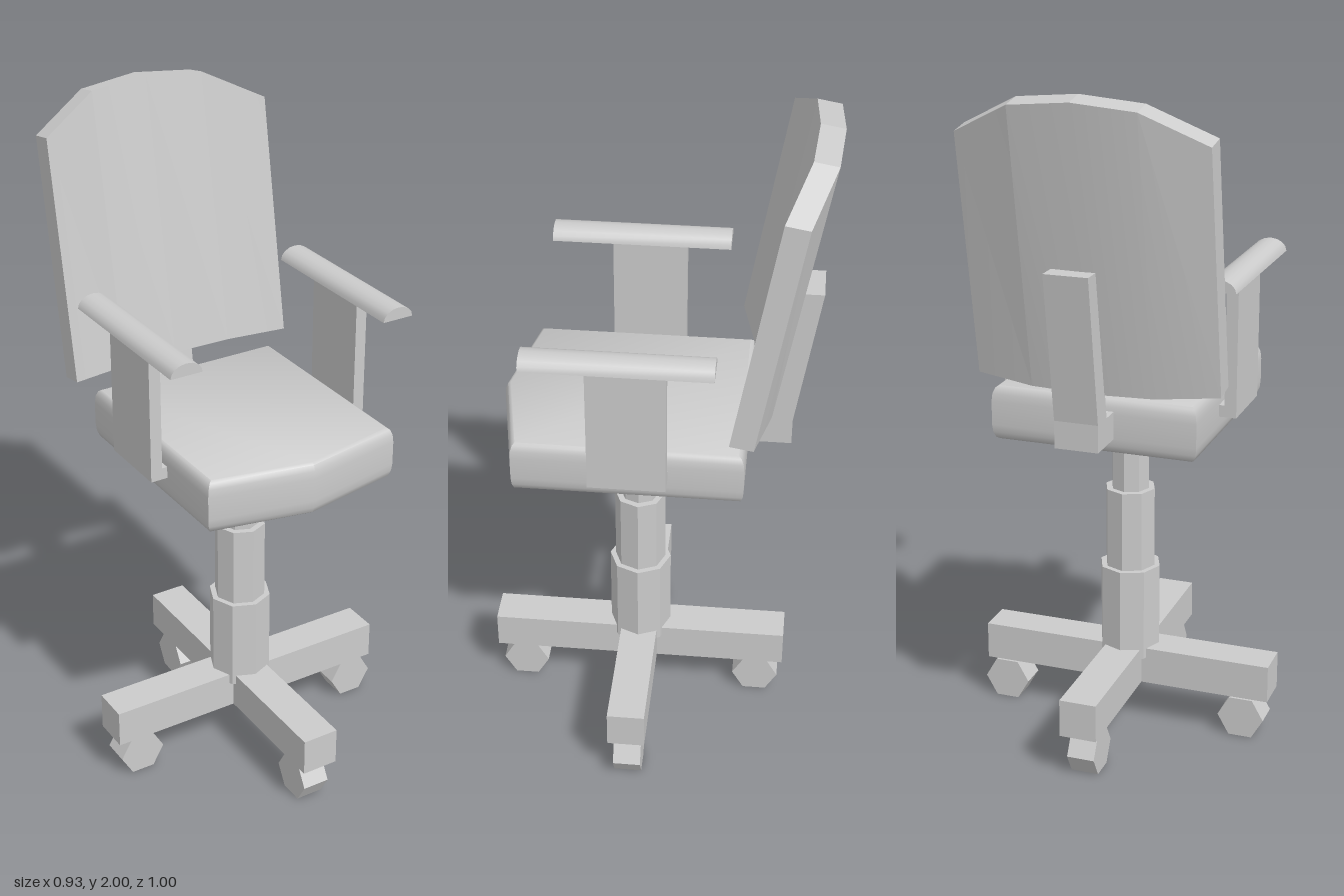
import * as THREE from 'three';
import { toCreasedNormals } from 'three/addons/utils/BufferGeometryUtils.js';

const material = new THREE.MeshStandardMaterial({ color: 0xcccccc });
const flat = new THREE.MeshStandardMaterial({ color: 0xcccccc, flatShading: true, side: THREE.DoubleSide });

function add(parent, name, geometry, x = 0, y = 0, z = 0, mat = material) {
  const mesh = new THREE.Mesh(geometry, mat);
  mesh.name = name;
  mesh.position.set(x, y, z);
  parent.add(mesh);
  return mesh;
}

const shapeOf = (points) => new THREE.Shape(points.map(([x, y]) => new THREE.Vector2(x, y)));

// Extrudes a profile, centred on its own depth
function slab(points, depth) {
  return new THREE.ExtrudeGeometry(shapeOf(points), { depth, bevelEnabled: false })
    .translate(0, 0, -depth / 2);
}

// Curved, tilted panel: one four-cornered cross-section per column, joined in a loop
function backrestGeometry() {
  // x, bottom y, bottom z, top y, top z of the front face
  const half = [[0.355, 1.195, -0.235, 1.895, -0.357], [0.178, 1.185, -0.277, 1.983, -0.42]];
  const columns = [
    ...half.map(([x, ...rest]) => [-x, ...rest]),
    [0, 1.182, -0.285, 2.0, -0.432],
    ...[...half].reverse(),
  ];
  const positions = [];
  const index = [];
  for (const [x, y0, z0, y1, z1] of columns) {
    positions.push(x, y0, z0, x, y1, z1, x, y1 - 0.012, z1 - 0.068, x, y0 - 0.012, z0 - 0.068);
  }
  for (let i = 0; i < columns.length - 1; i++) {
    for (let j = 0; j < 4; j++) {
      const a = i * 4 + j, b = i * 4 + ((j + 1) % 4);
      index.push(a, a + 4, b, b, a + 4, b + 4);
    }
  }
  const e = (columns.length - 1) * 4;
  index.push(0, 1, 2, 0, 2, 3, e, e + 2, e + 1, e, e + 3, e + 2);
  const geometry = new THREE.BufferGeometry();
  geometry.setAttribute('position', new THREE.Float32BufferAttribute(positions, 3));
  geometry.setIndex(index);
  return toCreasedNormals(geometry, 0.2);
}

export function createModel() {
  const model = new THREE.Group();
  model.name = 'officeChair';
  const chair = new THREE.Group();
  chair.name = 'chair';
  chair.position.x = -0.009;
  model.add(chair);
  const midZ = 0.044;

  // Cross-shaped foot cut as one solid
  const base = new THREE.Group();
  base.name = 'base';
  chair.add(base);
  const w = 0.056, r = 0.456;
  const cross = [];
  for (let i = 0; i < 4; i++) {
    const c = Math.round(Math.cos(i * Math.PI / 2)), s = Math.round(Math.sin(i * Math.PI / 2));
    for (const [x, y] of [[r, -w], [r, w], [w, w]]) cross.push([x * c - y * s, x * s + y * c]);
  }
  add(base, 'crossFoot', slab(cross, 0.115).rotateX(-Math.PI / 2), 0, 0.193, midZ);

  // Hexagonal casters, rolling along their arm
  for (const s of [-1, 1]) {
    const wheel = () => new THREE.CylinderGeometry(0.0715, 0.0715, 0.083, 6).rotateY(Math.PI / 2);
    const sideWheel = wheel().rotateY(Math.PI / 2).rotateX(Math.PI / 2);
    add(base, 'sideCaster', sideWheel.rotateZ(Math.PI / 6), 0.014 + s * 0.384, 0.063, 0.041, flat);
    const endWheel = wheel().rotateY(Math.PI / 2).rotateX(Math.PI / 2).rotateZ(Math.PI / 6).rotateY(Math.PI / 2);
    add(base, 'endCaster', endWheel, -0.002, 0.063, midZ + s * 0.37, flat);
  }
  // Flat side of each hexagon faces the floor
  base.traverse((o) => {
    if (!o.name.endsWith('Caster')) return;
    o.geometry.computeBoundingBox();
    const { min, max } = o.geometry.boundingBox;
    if (max.y - min.y > 0.13) {
      if (o.name === 'sideCaster') o.geometry.rotateZ(Math.PI / 6);
      else o.geometry.rotateX(Math.PI / 6);
    }
  });

  // Telescopic column
  for (const [radius, bottom, top] of [[0.094, 0.22, 0.507], [0.077, 0.4, 0.755], [0.058, 0.6, 1.0]]) {
    add(chair, 'columnStage', new THREE.CylinderGeometry(radius, radius, top - bottom, 8),
      0, (top + bottom) / 2, midZ, flat);
  }

  // Seat cushion with a pointed front and bevelled rim
  const seat = new THREE.ExtrudeGeometry(
    shapeOf([[-0.288, 0.262], [-0.288, -0.365], [0, -0.422], [0.288, -0.365], [0.288, 0.262]]),
    { depth: 0.07, bevelThickness: 0.045, bevelSize: 0.017, bevelSegments: 3 });
  add(chair, 'seat', toCreasedNormals(seat.rotateX(-Math.PI / 2), 0.65), 0, 1.02, 0);

  // Bent bracket carrying the backrest
  const bracket = [[-0.2, 1.02], [-0.403, 1.02], [-0.403, 1.1], [-0.472, 1.53],
    [-0.405, 1.53], [-0.335, 1.1], [-0.2, 1.1]];
  add(chair, 'backBracket', slab(bracket, 0.128).rotateY(-Math.PI / 2));
  add(chair, 'backrest', backrestGeometry(), -0.026);

  // Armrests: L-shaped post and domed pad
  const pad = [];
  for (let i = 0; i <= 8; i++) {
    const a = (i / 8) * Math.PI;
    pad.push([0.0485 * Math.cos(a), 0.036 * Math.sin(a)]);
  }
  for (const s of [-1, 1]) {
    const arm = new THREE.Group();
    arm.name = s > 0 ? 'leftArmrest' : 'rightArmrest';
    chair.add(arm);
    const post = [[0.27, 1.045], [0.356, 1.045], [0.356, 1.45], [0.321, 1.45], [0.321, 1.08], [0.27, 1.08]];
    add(arm, 'armPost', slab(post.map(([x, y]) => [x * s, y]), 0.22), 0, 0, 0.045);
    add(arm, 'armPad', toCreasedNormals(slab(pad, 0.525), 0.7), s * 0.338, 1.445, 0.067);
  }
  return model;
}
